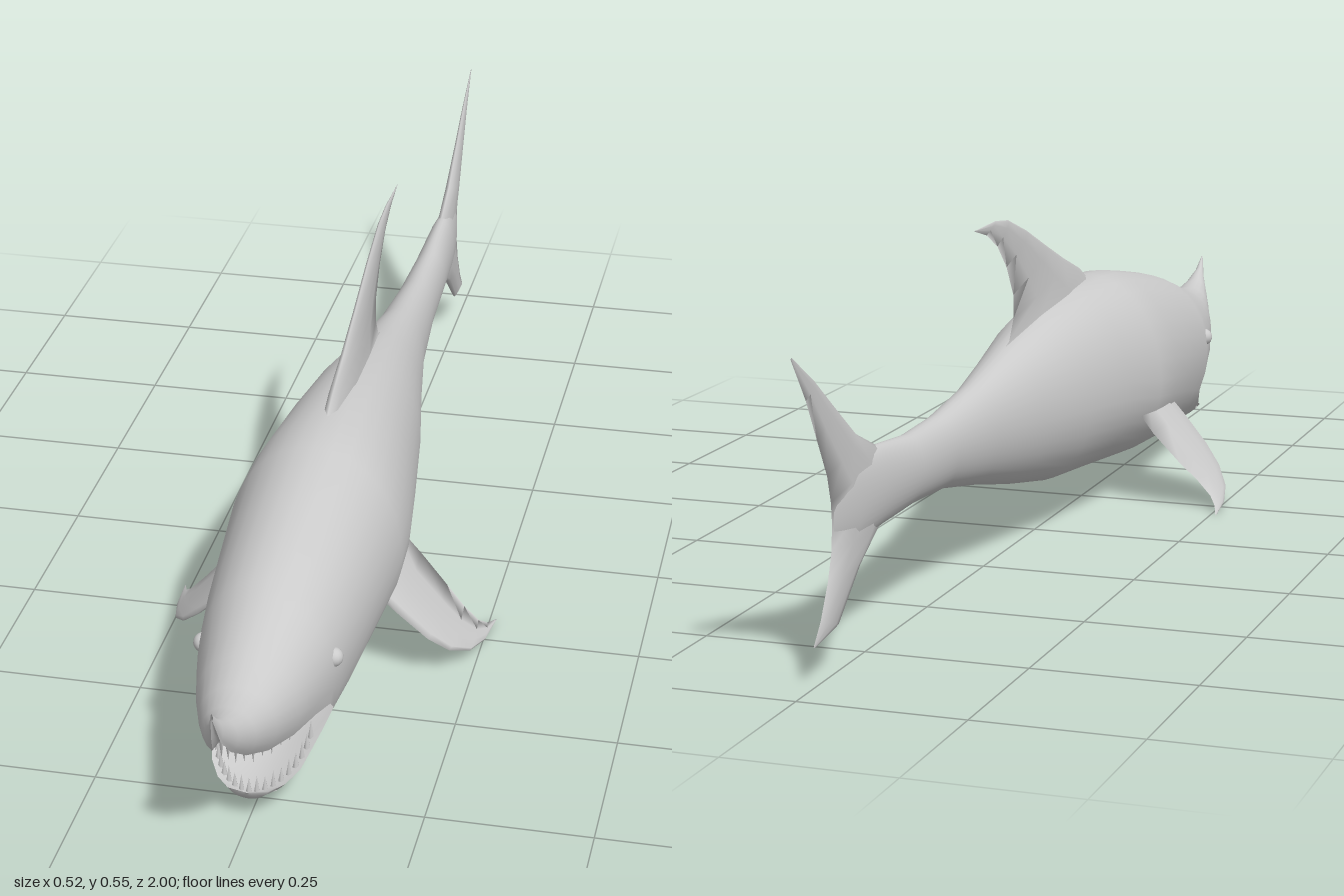
import * as THREE from 'three';
import { mergeVertices, mergeGeometries } from 'three/addons/utils/BufferGeometryUtils.js';

const material = new THREE.MeshStandardMaterial({ color: 0xcccccc, side: THREE.DoubleSide });

// Cross-sections, nose to tail: [z, top, bottom, height of widest point, half width, lip or seam height]
const TRUNK = [
  [0.66, 0.322, 0.033, 0.19, 0.108, 0.115],
  [0.58, 0.342, 0.036, 0.195, 0.118, 0.13],
  [0.48, 0.361, 0.043, 0.2, 0.127, 0.15],
  [0.36, 0.382, 0.053, 0.205, 0.138, 0.17],
  [0.28, 0.388, 0.061, 0.205, 0.135, 0.18],
  [0.15, 0.384, 0.073, 0.208, 0.118, 0.2],
  [0, 0.366, 0.085, 0.215, 0.097, 0.21],
  [-0.15, 0.335, 0.113, 0.22, 0.07, 0.22],
  [-0.3, 0.306, 0.146, 0.226, 0.046, 0.226],
  [-0.45, 0.289, 0.174, 0.232, 0.035, 0.232],
  [-0.58, 0.286, 0.18, 0.233, 0.03, 0.233],
  [-0.7, 0.297, 0.176, 0.236, 0.024, 0.236],
  [-0.79, 0.295, 0.17, 0.232, 0.014, 0.23],
  [-0.86, 0.26, 0.19, 0.222, 0.001, 0.222],
];
const SNOUT = [
  [1, 0.308, 0.29, 0.3, 0.002, 0.295],
  [0.98, 0.288, 0.245, 0.265, 0.01, 0.25],
  [0.95, 0.272, 0.21, 0.24, 0.024, 0.215],
  [0.91, 0.262, 0.175, 0.22, 0.04, 0.185],
  [0.86, 0.264, 0.14, 0.205, 0.058, 0.163],
  [0.8, 0.28, 0.11, 0.195, 0.077, 0.153],
  [0.74, 0.297, 0.08, 0.19, 0.092, 0.152],
  [0.69, 0.313, 0.05, 0.19, 0.103, 0.14],
];
const CHIN = [
  [0.817, 0.06, 0.053, 0.056, 0.003, 0.055],
  [0.81, 0.1, 0.04, 0.07, 0.035, 0.055],
  [0.79, 0.12, 0.036, 0.08, 0.058, 0.058],
  [0.76, 0.15, 0.035, 0.1, 0.078, 0.066],
  [0.72, 0.2, 0.034, 0.14, 0.093, 0.078],
  [0.69, 0.22, 0.033, 0.17, 0.102, 0.094],
];

// Surface through rows of points
function loft(rows) {
  const n = rows[0].length, index = [];
  for (let r = 0; r < rows.length - 1; r++) {
    for (let c = 0; c < n - 1; c++) {
      const a = r * n + c, b = a + n;
      index.push(a, b, a + 1, a + 1, b, b + 1);
    }
  }
  const g = new THREE.BufferGeometry().setFromPoints(rows.flat());
  g.setIndex(index);
  return g;
}

function addMesh(parent, name, geometry) {
  const mesh = new THREE.Mesh(geometry, material);
  mesh.name = name;
  parent.add(mesh);
  return mesh;
}

function smooth(geometry) {
  const g = mergeVertices(geometry, 1e-5);
  g.computeVertexNormals();
  return g;
}

const seamAngle = ([, , bot, mid, , lip]) => Math.asin((lip - mid) / (mid - bot));

// Part of a body ring above or below the seam
function arc(s, upper, steps = 18) {
  const [z, top, bot, mid, w] = s;
  const a = seamAngle(s);
  const from = upper ? a : Math.PI - a;
  const to = upper ? Math.PI - a : 2 * Math.PI + a;
  return Array.from({ length: steps + 1 }, (_, i) => {
    const t = from + (to - from) * i / steps, k = Math.sin(t);
    return new THREE.Vector3(w * Math.cos(t), mid + k * (k > 0 ? top - mid : mid - bot), z);
  });
}

// Palate or jaw floor: spans the lips and closes into a throat at the back
function lining(stations, upper) {
  const list = [...stations, TRUNK[0], TRUNK[1]];
  return smooth(loft(list.map((s, i) => {
    const last = i === list.length - 1;
    const half = s[4] * Math.cos(seamAngle(s)) * (last ? 0.5 : 1);
    const bow = last ? 0 : upper ? 0.35 * (s[1] - s[5]) : -0.45 * (s[5] - s[2]);
    return Array.from({ length: 13 }, (_, c) => {
      const x = (c / 6 - 1) * half * (upper ? 1 : -1);
      return new THREE.Vector3(x, s[5] + bow * Math.sin(Math.PI * c / 12), s[0]);
    });
  })));
}

// Fin from sections: [lead x, y, z, trail x, y, z, half thickness]
function fin(sections, side = 1) {
  const leads = sections.map(s => new THREE.Vector3(s[0] * side, s[1], s[2]));
  const trails = sections.map(s => new THREE.Vector3(s[3] * side, s[4], s[5]));
  const out = leads.at(-1).clone().sub(leads[0]).setZ(0);
  const normal = out.cross(new THREE.Vector3(0, 0, 1)).normalize();
  const profile = [[0, 0], [0.06, -0.55], [0.3, -1], [0.65, -0.7], [1, 0],
    [0.65, 0.7], [0.3, 1], [0.06, 0.55], [0, 0]];
  return smooth(loft(sections.map((s, i) => profile.map(([t, k]) =>
    leads[i].clone().lerp(trails[i], t).addScaledVector(normal, k * s[6])))));
}

// Row of teeth along a curved jaw; dir -1 points down, +1 up
function teeth(count, width, z0, reach, y0, rise, length, dir) {
  const parts = [];
  for (let i = 0; i < count; i++) {
    const t = (i / (count - 1) - 0.5) * Math.PI * 0.96;
    const len = length * (i % 2 ? 0.8 : 1);
    const g = new THREE.ConeGeometry(0.0055, len, 5);
    if (dir < 0) g.rotateX(Math.PI);
    g.translate(width * Math.sin(t), y0 + rise * (1 - Math.cos(t)), z0 + reach * Math.cos(t));
    parts.push(g);
  }
  return mergeGeometries(parts);
}

export function createModel() {
  const model = new THREE.Group();
  model.name = 'shark';

  // Skin: back and belly share the seam behind the mouth corner
  const back = loft([...SNOUT, ...TRUNK].map(s => arc(s, true)));
  const belly = loft([...CHIN, ...TRUNK].map(s => arc(s, false)));
  addMesh(model, 'body', smooth(mergeGeometries([back, belly])));

  // Mouth
  addMesh(model, 'palate', lining(SNOUT, true));
  addMesh(model, 'jawFloor', lining(CHIN, false));
  addMesh(model, 'upperTeeth', teeth(21, 0.078, 0.68, 0.195, 0.165, -0.006, 0.042, -1));
  addMesh(model, 'lowerTeeth', teeth(19, 0.069, 0.69, 0.113, 0.058, 0.04, 0.034, 1));

  // Dorsal fin
  addMesh(model, 'dorsalFin', fin([
    [0, 0.36, 0.32, 0, 0.315, -0.2, 0.022],
    [0, 0.405, 0.235, 0, 0.343, -0.125, 0.017],
    [0, 0.435, 0.15, 0, 0.375, -0.105, 0.012],
    [0, 0.47, 0.06, 0, 0.415, -0.105, 0.009],
    [0, 0.51, -0.04, 0, 0.465, -0.137, 0.007],
    [0, 0.54, -0.13, 0, 0.505, -0.18, 0.005],
    [0, 0.547, -0.19, 0, 0.53, -0.23, 0.003],
    [0, 0.545, -0.282, 0, 0.544, -0.285, 0.0005],
  ]));

  // Tail fin, upper tip to lower tip
  addMesh(model, 'tailFin', fin([
    [0, 0.478, -0.995, 0, 0.477, -1, 0.0005],
    [0, 0.432, -0.92, 0, 0.41, -0.95, 0.004],
    [0, 0.385, -0.855, 0, 0.35, -0.915, 0.007],
    [0, 0.328, -0.775, 0, 0.29, -0.88, 0.011],
    [0, 0.296, -0.7, 0, 0.25, -0.868, 0.013],
    [0, 0.235, -0.66, 0, 0.22, -0.865, 0.015],
    [0, 0.178, -0.7, 0, 0.18, -0.868, 0.013],
    [0, 0.14, -0.77, 0, 0.14, -0.882, 0.011],
    [0, 0.07, -0.85, 0, 0.09, -0.91, 0.006],
    [0, 0.058, -0.93, 0, 0.06, -0.936, 0.0005],
  ]));

  // Paired fins and eyes
  const pectoral = [
    [0.1, 0.165, 0.405, 0.1, 0.18, 0.22, 0.013],
    [0.14, 0.125, 0.4, 0.14, 0.13, 0.215, 0.011],
    [0.185, 0.078, 0.388, 0.185, 0.08, 0.223, 0.009],
    [0.215, 0.047, 0.365, 0.215, 0.049, 0.232, 0.007],
    [0.24, 0.022, 0.32, 0.238, 0.025, 0.23, 0.005],
    [0.254, 0.008, 0.26, 0.25, 0.012, 0.215, 0.003],
    [0.26, 0.002, 0.19, 0.26, 0.002, 0.185, 0.0005],
  ];
  for (const [side, label] of [[1, 'left'], [-1, 'right']]) {
    addMesh(model, label + 'PectoralFin', fin(pectoral, side));
    const eye = addMesh(model, label + 'Eye', new THREE.SphereGeometry(0.015, 16, 12));
    eye.position.set(0.098 * side, 0.212, 0.675);
  }
  return model;
}
